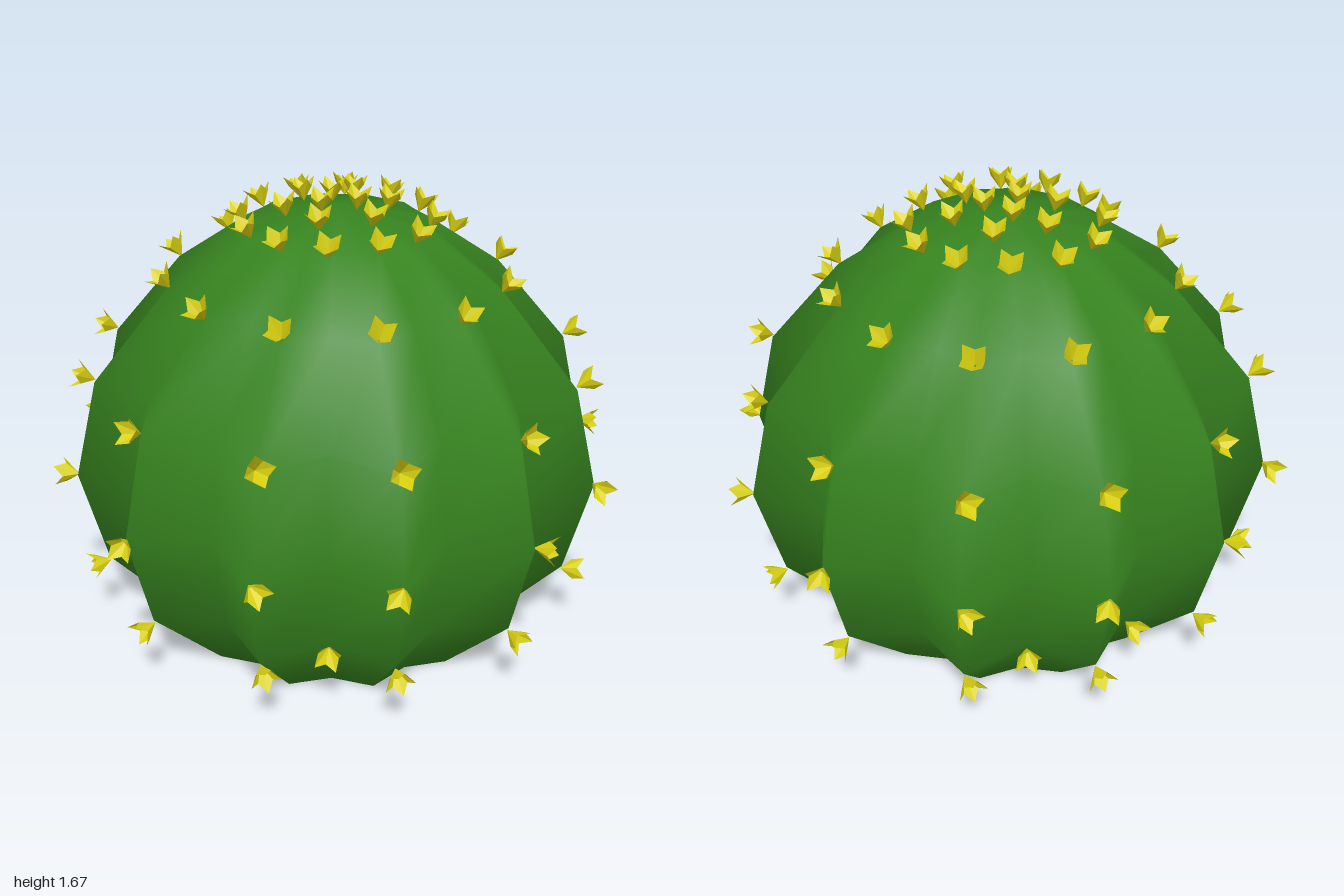
import * as THREE from 'three';
import { mergeVertices } from 'three/addons/utils/BufferGeometryUtils.js';

const RIBS = 12;
// Cross-sections from bottom to top: height, crest radius, groove radius
const RINGS = [
  [0, 0, 0], [0, 0.58, 0.52], [0.3, 0.86, 0.71], [0.66, 0.947, 0.77],
  [1.02, 0.86, 0.71], [1.345, 0.59, 0.53], [1.53, 0.325, 0.31], [1.6, 0, 0],
];

// Ribbed barrel, crests at 15, 45, 75... degrees
function bodyGeometry() {
  const n = RIBS * 2, pos = [], idx = [];
  for (const [y, crest, groove] of RINGS) {
    for (let i = 0; i < n; i++) {
      const a = (i / n) * Math.PI * 2, r = i % 2 ? crest : groove;
      pos.push(r * Math.cos(a), y, r * Math.sin(a));
    }
  }
  for (let j = 0; j < RINGS.length - 1; j++) {
    for (let i = 0; i < n; i++) {
      const k = (i + 1) % n;
      const a = j * n + i, b = j * n + k, c = a + n, d = b + n;
      if (RINGS[j][1] > 0) idx.push(a, c, b);
      if (RINGS[j + 1][1] > 0) idx.push(b, c, d);
    }
  }
  let g = new THREE.BufferGeometry();
  g.setAttribute('position', new THREE.Float32BufferAttribute(pos, 3));
  g.setIndex(idx);
  g = mergeVertices(g);
  g.computeVertexNormals();
  return g;
}

// Small open cup of four pointed petals, opening along +y
function spineGeometry() {
  const pos = [];
  const rim = (i) => {
    const a = (i / 8) * Math.PI * 2, tip = i % 2 === 0;
    const r = tip ? 0.052 : 0.036;
    return [r * Math.cos(a), tip ? 0.08 : 0.05, r * Math.sin(a)];
  };
  for (let i = 0; i < 8; i++) pos.push(0, 0, 0, ...rim(i), ...rim(i + 1));
  const g = new THREE.BufferGeometry();
  g.setAttribute('position', new THREE.Float32BufferAttribute(pos, 3));
  g.computeVertexNormals();
  return g;
}

export function createModel() {
  const model = new THREE.Group();
  model.name = 'barrelCactus';

  const green = new THREE.MeshStandardMaterial({ color: 0x37841f });
  const yellow = new THREE.MeshStandardMaterial({
    color: 0xd8d010, flatShading: true, side: THREE.DoubleSide,
  });

  const body = new THREE.Mesh(bodyGeometry(), green);
  body.name = 'body';
  model.add(body);

  const spines = new THREE.Group();
  spines.name = 'spines';
  model.add(spines);
  const spineGeo = spineGeometry();
  const up = new THREE.Vector3(0, 1, 0);
  const rad = THREE.MathUtils.degToRad;

  // Angles in degrees from +x towards +z; heading and tilt aim the spine
  function addSpine(r, y, angle, heading, tilt) {
    const a = rad(angle), h = rad(heading), t = rad(tilt);
    const mesh = new THREE.Mesh(spineGeo, yellow);
    mesh.name = 'spine';
    mesh.position.set(r * Math.cos(a), y, r * Math.sin(a));
    const axis = new THREE.Vector3(Math.cos(h) * Math.cos(t), Math.sin(t), Math.sin(h) * Math.cos(t));
    mesh.quaternion.setFromUnitVectors(up, axis);
    spines.add(mesh);
  }

  // Spines along the rib crests
  for (let i = 0; i < RIBS; i++) {
    const a = 15 + i * 30;
    const diagonal = i % 3 === 1;
    const quarter = Math.floor(i / 3) * 90;
    const toZ = a < 180 ? 90 : 270;
    addSpine(0.94, 0.665, a, diagonal ? toZ : quarter + 45, 0);
    addSpine(0.855, 0.29, a, diagonal ? a - 35 : a, -15);
    addSpine(0.855, 1.03, a, diagonal ? a - 35 : a, 25);
    addSpine(0.58, 1.345, a, a, 55);
  }

  // Extra spines low in the grooves
  for (const a of [30, 120, 270, 300]) addSpine(0.72, 0.29, a, a, 0);

  // Crown: three tightening circles
  const crown = [
    [12, 0.315, 1.525, 3, 65],
    [6, 0.175, 1.565, 17, 78],
    [3, 0.07, 1.585, 45, 86],
  ];
  for (const [count, r, y, start, tilt] of crown) {
    for (let i = 0; i < count; i++) {
      const a = start + (i * 360) / count;
      addSpine(r, y, a, a, tilt);
    }
  }
  return model;
}
